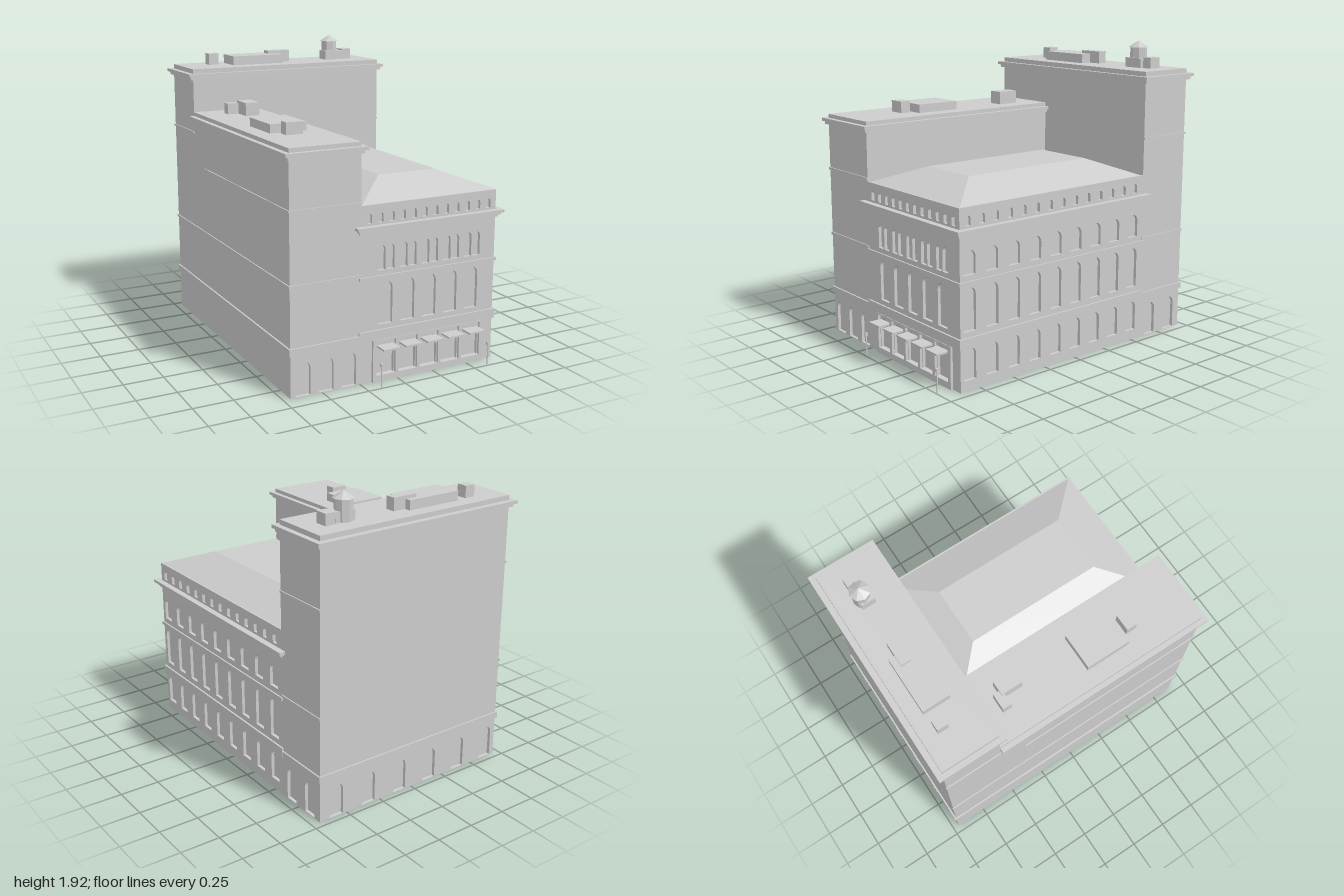
import * as THREE from 'three';
import { ConvexGeometry } from 'three/addons/geometries/ConvexGeometry.js';

const stone = new THREE.MeshStandardMaterial({ color: 0xcccccc, side: THREE.DoubleSide });
stone.name = 'grey stone';

const range = (n, start, step) => Array.from({ length: n }, (_, i) => start + i * step);

export function createModel() {
  const model = new THREE.Group();

  const add = (parent, name, geometry) => {
    const mesh = new THREE.Mesh(geometry, stone);
    mesh.name = name;
    parent.add(mesh);
    return mesh;
  };
  const group = (name) => {
    const g = new THREE.Group();
    g.name = name;
    model.add(g);
    return g;
  };
  // Box given by its limits on each axis
  const box = (parent, name, x0, x1, y0, y1, z0, z1) => {
    const mesh = add(parent, name, new THREE.BoxGeometry(x1 - x0, y1 - y0, z1 - z0));
    mesh.position.set((x0 + x1) / 2, (y0 + y1) / 2, (z0 + z1) / 2);
    return mesh;
  };
  // Openings: a row of round-headed or square holes
  const row = (centres, w, y0, y1, square = false) => centres.map((x) => {
    const r = w / 2;
    const p = new THREE.Path();
    p.moveTo(x - r, y0);
    p.lineTo(x + r, y0);
    if (square) {
      p.lineTo(x + r, y1);
      p.lineTo(x - r, y1);
    } else {
      p.lineTo(x + r, y1 - r);
      p.absarc(x, y1 - r, r, 0, Math.PI, false);
    }
    p.closePath();
    return p;
  });
  // Wall slab with holes, its outer face on local z = 0
  const wall = (parent, name, u0, u1, y0, y1, holes, depth = 0.02) => {
    const s = new THREE.Shape();
    s.moveTo(u0, y0);
    s.lineTo(u1, y0);
    s.lineTo(u1, y1);
    s.lineTo(u0, y1);
    s.closePath();
    s.holes.push(...holes);
    const g = new THREE.ExtrudeGeometry(s, { depth, bevelEnabled: false, curveSegments: 10 });
    g.translate(0, 0, -depth);
    return add(parent, name, g);
  };

  const L = -0.705, M = -0.25, R = 0.695, F = 0.89, T = -0.58, B = -0.96;

  // Rear tower: solid core with arcaded back and side walls
  const tower = group('rearTower');
  box(tower, 'towerCore', L, R - 0.02, 0, 1.75, B + 0.02, T);
  const back = wall(tower, 'towerBackWall', -R, -L, 0, 1.75, row(range(6, -0.575, 0.24), 0.095, 0.004, 0.215));
  back.rotation.y = Math.PI;
  back.position.z = B;
  const side = wall(tower, 'towerSideWall', -T, -B, 0, 1.75, row([0.675, 0.86], 0.095, 0.004, 0.22));
  side.rotation.y = Math.PI / 2;
  side.position.x = R;
  box(tower, 'towerLowerCornice', L - 0.02, R + 0.02, 1.68, 1.7, B - 0.02, T + 0.015);
  box(tower, 'towerUpperCornice', L - 0.035, R + 0.035, 1.7, 1.72, B - 0.038, T + 0.03);
  box(tower, 'towerBaseBand', L - 0.01, R + 0.01, 0.265, 0.305, B - 0.01, T);
  for (const y of [0.665, 1.32]) {
    box(tower, 'towerStringCourse', R, R + 0.007, y, y + 0.014, B - 0.005, T);
    box(tower, 'towerStringCourse', L - 0.007, L, y, y + 0.014, B - 0.005, T);
  }

  // Rooftop plant on the tower
  const plant = group('towerRoofPlant');
  box(plant, 'roofBox', -0.51, -0.44, 1.75, 1.825, -0.86, -0.79);
  box(plant, 'longRoofBox', -0.37, 0, 1.75, 1.81, -0.87, -0.69);
  box(plant, 'roofDuct', -0.08, 0.085, 1.75, 1.83, -0.83, -0.765);
  box(plant, 'turretBase', 0.36, 0.495, 1.75, 1.812, -0.83, -0.74);
  box(plant, 'roofBox', 0.505, 0.57, 1.75, 1.82, -0.84, -0.755);
  const drum = add(plant, 'turretDrum', new THREE.CylinderGeometry(0.055, 0.055, 0.13, 8).toNonIndexed());
  drum.position.set(0.42, 1.815, -0.8);
  const cap = add(plant, 'turretCap', new THREE.ConeGeometry(0.065, 0.042, 8).toNonIndexed());
  cap.position.set(0.42, 1.901, -0.8);
  for (const m of [drum, cap]) m.geometry.computeVertexNormals();

  // Tall right-hand wing, open underneath
  const wing = group('tallWing');
  wall(wing, 'wingFrontWall', L, M, 0, 1.465, row(range(3, -0.625, 0.15), 0.095, 0.004, 0.215)).position.z = F;
  box(wing, 'wingFrontGlass', L + 0.01, M, 0, 0.24, F - 0.025, F - 0.02);
  box(wing, 'wingOuterWall', L, L + 0.02, 0, 1.465, T, F);
  box(wing, 'wingInnerWall', M - 0.02, M, 0.95, 1.465, T, F);
  box(wing, 'wingRoof', L, M, 1.44, 1.465, T, F);
  box(wing, 'wingLowerCornice', L - 0.015, M + 0.015, 1.4, 1.42, T, F + 0.018);
  box(wing, 'wingUpperCornice', L - 0.032, M + 0.032, 1.42, 1.44, T, F + 0.032);
  for (const [y0, y1, d, z0] of [[0.265, 0.305, 0.011, T], [0.66, 0.68, 0.007, T], [1.1, 1.115, 0.007, -0.4]]) {
    box(wing, 'wingFrontBand', L - d, M, y0, y1, F, F + d);
    box(wing, 'wingSideBand', L - d, L, y0, y1, z0, F);
  }
  box(wing, 'flatRoofBox', -0.6, -0.36, 1.465, 1.52, 0.115, 0.415);
  box(wing, 'roofBox', -0.54, -0.43, 1.465, 1.54, 0.44, 0.51);
  box(wing, 'roofBox', -0.54, -0.43, 1.465, 1.535, -0.45, -0.39);
  box(wing, 'roofBox', -0.465, -0.37, 1.465, 1.55, -0.41, -0.265);

  // Main block: arcaded front and side walls with glazing behind
  const main = group('mainBlock');
  const bays = range(5, -0.08, 0.152);
  wall(main, 'mainFrontWall', M, R, 0, 1.09, [
    ...row(bays, 0.12, 0.04, 0.24),
    ...row(bays, 0.093, 0.355, 0.62),
    ...row(bays.flatMap((x) => [x - 0.031, x + 0.031]), 0.052, 0.69, 0.84),
    ...row(range(12, -0.193, 0.0757), 0.032, 0.98, 1.038),
  ]).position.z = F;
  const sideBays = range(9, -0.82, 0.1645);
  const mainSide = wall(main, 'mainSideWall', -F, -T, 0, 1.09, [
    ...row(sideBays, 0.085, 0.065, 0.26),
    ...row(sideBays, 0.085, 0.36, 0.62),
    ...row(sideBays, 0.085, 0.695, 0.84),
    ...row(range(14, -0.83, 0.103), 0.037, 0.982, 1.04),
  ]);
  mainSide.rotation.y = Math.PI / 2;
  mainSide.position.x = R;
  box(main, 'frontGlass', M, R - 0.02, 0.02, 1.06, F - 0.025, F - 0.02);
  box(main, 'sideGlass', R - 0.025, R - 0.02, 0.02, 1.06, T, F - 0.02);

  // Bands and cornice wrapping the front and side
  for (const [y0, y1, d] of [[0.265, 0.325, 0.012], [0.64, 0.66, 0.01]]) {
    box(main, 'frontBand', M - 0.01, R + d, y0, y1, F, F + d);
    box(main, 'sideBand', R, R + d, y0, y1, T - 0.01, F);
  }
  [[0.92, 0.935, 0.012], [0.935, 0.95, 0.025], [0.95, 0.967, 0.04]].forEach(([y0, y1, d]) => {
    box(main, 'mainCorniceFront', M - d, R + d, y0, y1, F - 0.02, F + d);
    box(main, 'mainCorniceSide', R - 0.02, R + d, y0, y1, T - d, F);
  });

  // Hipped roof with a flat top
  const corners = [];
  for (const x of [[M, 0.02], [R, 0.425]]) {
    for (const z of [[T, -0.315], [F, 0.615]]) {
      corners.push(new THREE.Vector3(x[0], 1.085, z[0]), new THREE.Vector3(x[1], 1.195, z[1]));
    }
  }
  add(main, 'hippedRoof', new ConvexGeometry(corners));

  // Entrance front: portal surround, canopies and lamp posts
  const entrance = group('entrance');
  wall(entrance, 'portalSurround', -0.17, 0.62, 0, 0.265, row(bays, 0.13, 0.04, 0.255, true), 0.016).position.z = F + 0.016;
  for (const x of bays) box(entrance, 'canopy', x - 0.057, x + 0.057, 0.215, 0.226, F, 0.978);
  for (const x of [-0.158, 0.602]) {
    box(entrance, 'lampPost', x - 0.003, x + 0.003, 0, 0.135, 0.986, 0.992);
    box(entrance, 'lampHead', x - 0.008, x + 0.008, 0.13, 0.15, 0.982, 0.998);
  }

  return model;
}
